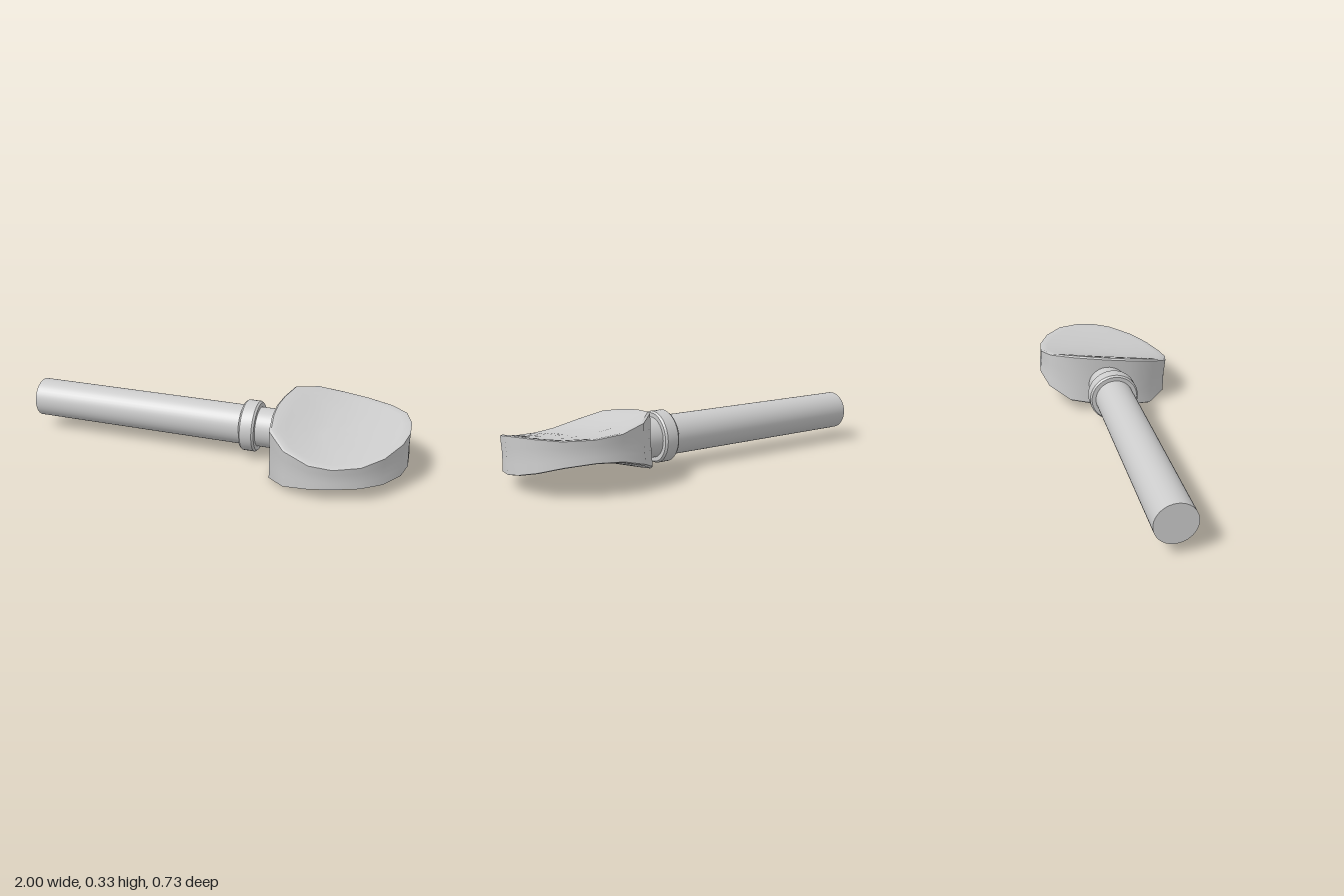
import * as THREE from 'three';
import { toCreasedNormals } from 'three/addons/utils/BufferGeometryUtils.js';

const material = new THREE.MeshStandardMaterial({ color: 0xcccccc });

// Grip outline seen from above (x, z), running from the tip round the back
const OUTLINE = [
  [1, 0], [0.99, -0.1], [0.95, -0.21], [0.86, -0.3], [0.73, -0.355], [0.6, -0.367],
  [0.47, -0.33], [0.37, -0.225], [0.347, -0.1], [0.34, 0], [0.347, 0.1], [0.372, 0.23],
  [0.47, 0.327], [0.6, 0.363], [0.71, 0.352], [0.83, 0.303], [0.92, 0.22], [0.983, 0.1],
];
const CENTRE_X = 0.65;
const MID_Y = 0.156;
const TILT = 0.141;

// Half thickness of the grip along x: thick at both ends, thin in the middle
const THICKNESS = [[0.34, 0.146], [0.4, 0.13], [0.47, 0.102], [0.58, 0.069], [0.7, 0.055],
  [0.8, 0.056], [0.88, 0.064], [0.95, 0.081], [1, 0.096]];
function halfThickness(x) {
  const last = THICKNESS.length - 1;
  const i = Math.max(1, THICKNESS.findIndex(([px], k) => k === last || px >= x));
  const [x0, h0] = THICKNESS[i - 1];
  const [x1, h1] = THICKNESS[i];
  return h0 + (h1 - h0) * THREE.MathUtils.clamp((x - x0) / (x1 - x0), 0, 1);
}

function gripGeometry() {
  // Rings from the top centre, over the softened rim, down the wall to the bottom centre
  const face = [[0.15, 1], [0.3, 1], [0.45, 1], [0.6, 1], [0.75, 1], [0.88, 1], [0.965, 0.99], [0.995, 0.92]];
  const wall = [[0.99, 0.4], [0.985, 0], [0.99, -0.4]];
  const rings = [...face, ...wall, ...face.map(([s, k]) => [s, -k]).reverse()];
  const n = OUTLINE.length;
  const positions = [];
  const indices = [];
  const add = (x, y, z) => positions.push(x, MID_Y + y - z * TILT, z + y * TILT * 0.5);

  add(CENTRE_X, halfThickness(CENTRE_X), 0);
  for (const [s, k] of rings) {
    for (const [px, pz] of OUTLINE) {
      const x = CENTRE_X + (px - CENTRE_X) * s;
      add(x, halfThickness(x) * k, pz * s);
    }
  }
  add(CENTRE_X, -halfThickness(CENTRE_X), 0);

  const bottom = 1 + rings.length * n;
  for (let i = 0; i < n; i++) {
    const j = (i + 1) % n;
    indices.push(0, 1 + i, 1 + j);
    for (let r = 0; r < rings.length - 1; r++) {
      const a = 1 + r * n;
      const b = a + n;
      indices.push(a + i, b + i, b + j, a + i, b + j, a + j);
    }
    indices.push(bottom, bottom - n + j, bottom - n + i);
  }
  const geometry = new THREE.BufferGeometry();
  geometry.setAttribute('position', new THREE.Float32BufferAttribute(positions, 3));
  geometry.setIndex(indices);
  return toCreasedNormals(geometry, 0.7);
}

function addPart(parent, name, geometry) {
  const mesh = new THREE.Mesh(geometry, material);
  mesh.name = name;
  parent.add(mesh);
  return mesh;
}

// Turned part whose profile is given as [radius, distance along the shaft]
function turned(profile) {
  const points = profile.map(([r, y]) => new THREE.Vector2(r, y));
  return toCreasedNormals(new THREE.LatheGeometry(points, 40), 0.5);
}

export function createModel() {
  const model = new THREE.Group();
  model.name = 'tuningPeg';

  // Shaft and collar, lying along x and drifting slightly to the back
  const stem = new THREE.Group();
  stem.name = 'stem';
  const start = new THREE.Vector3(-0.998, 0.153, 0);
  const end = new THREE.Vector3(0.42, 0.15, -0.03);
  const axis = end.clone().sub(start).normalize();
  stem.position.copy(start);
  stem.quaternion.setFromUnitVectors(new THREE.Vector3(0, 1, 0), axis);
  addPart(stem, 'shaft', turned([[0, 0], [0.101, 0], [0.101, 1.41], [0, 1.41]]));
  addPart(stem, 'collar', turned([
    [0.095, 1.165], [0.122, 1.165], [0.13, 1.175], [0.13, 1.235], [0.122, 1.245], [0.095, 1.245],
  ]));
  model.add(stem);

  // Finger grip with hollowed faces
  addPart(model, 'grip', gripGeometry());
  return model;
}
